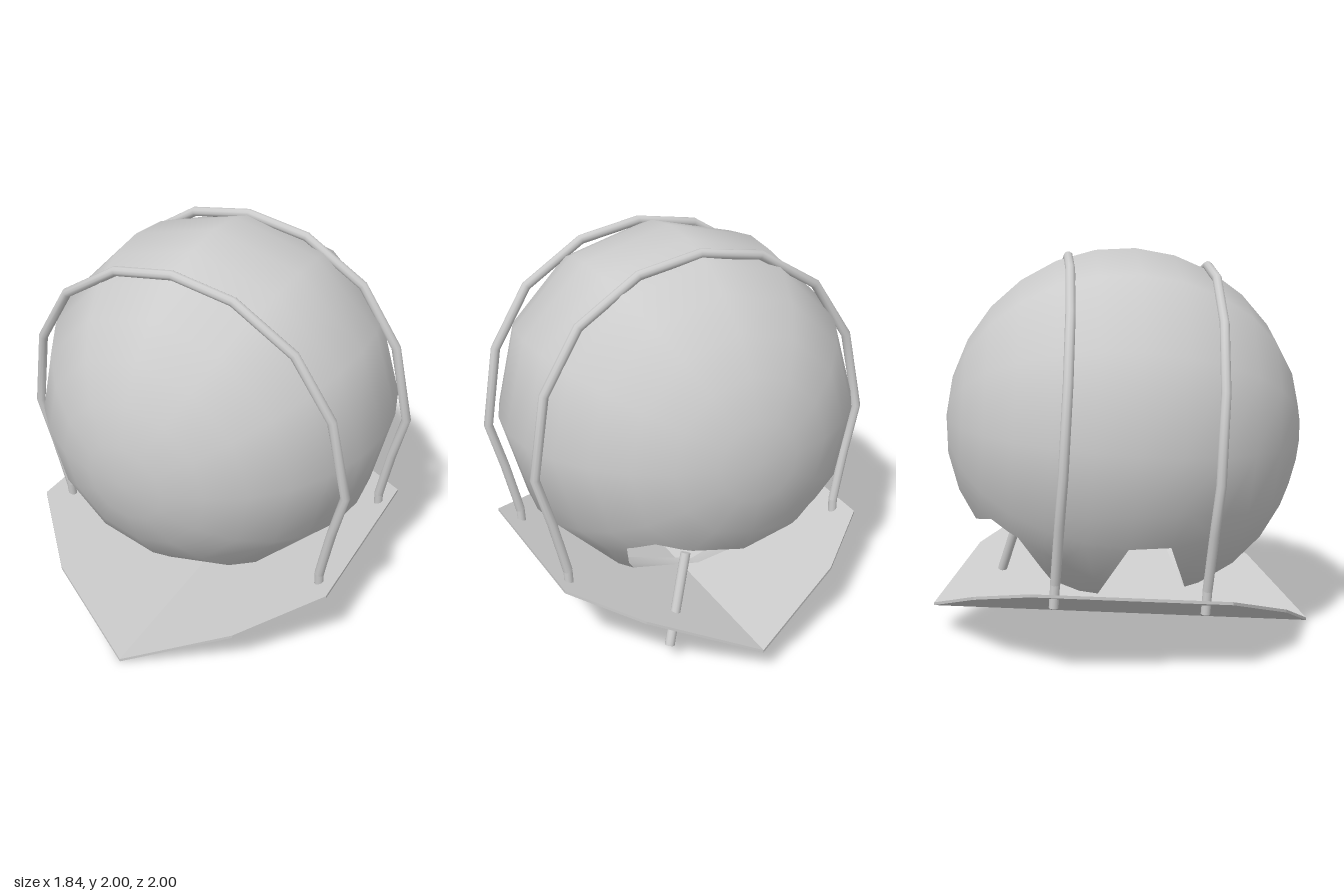
import * as THREE from 'three';

const material = new THREE.MeshStandardMaterial({ color: 0xcccccc, side: THREE.DoubleSide });
const TILT = 0.07;
const V = (x, y, z) => new THREE.Vector3(x, y, z);

function add(parent, name, geometry) {
  const mesh = new THREE.Mesh(geometry, material);
  mesh.name = name;
  parent.add(mesh);
  return mesh;
}

// Split a polygon by a plane into the parts in front of and behind it
function split(poly, plane) {
  const front = [], back = [];
  poly.forEach((a, i) => {
    const b = poly[(i + 1) % poly.length];
    const da = plane.distanceToPoint(a), db = plane.distanceToPoint(b);
    (da >= 0 ? front : back).push(a);
    if ((da >= 0) !== (db >= 0)) {
      const p = a.clone().lerp(b, da / (da - db));
      front.push(p);
      back.push(p);
    }
  });
  return [front, back];
}

// Remove a convex region (behind all planes) from a list of polygons
function cut(polys, planes) {
  const kept = [];
  for (let poly of polys) {
    for (const plane of planes) {
      const [front, back] = split(poly, plane);
      if (front.length > 2) kept.push(front);
      poly = back;
      if (poly.length < 3) break;
    }
  }
  return kept;
}

// Plane along x through two (z, y) points, with its front side facing up
function sidePlane(z1, y1, z2, y2) {
  const n = V(0, z2 - z1, y1 - y2);
  if (n.y < 0) n.negate();
  return new THREE.Plane().setFromNormalAndCoplanarPoint(n.normalize(), V(0, y1, z1));
}

// Hollow ball, poles along z, with openings in the lower sides and back
function ballGeometry() {
  const centre = V(0, 1.09, 0);
  const src = new THREE.SphereGeometry(0.912, 12, 14)
    .rotateX(Math.PI / 2 + TILT).translate(0, centre.y, 0).toNonIndexed();
  const pos = src.attributes.position;
  let polys = [];
  for (let i = 0; i < pos.count; i += 3) {
    polys.push([0, 1, 2].map(k => V().fromBufferAttribute(pos, i + k)));
  }
  // Side slot
  polys = cut(polys, [
    sidePlane(0, 0.63, 1, 0.63),
    sidePlane(0.16, 0.63, 0.24, 0.42),
    sidePlane(-0.04, 0.63, -0.12, 0.43),
  ]);
  // Back opening, one half at a time
  for (const s of [1, -1]) {
    polys = cut(polys, [
      new THREE.Plane(V(-s, 0, 0), 0),
      new THREE.Plane().setFromNormalAndCoplanarPoint(V(-0.22 * s, 1, 0).normalize(), V(0, 0.61, 0)),
      sidePlane(-0.69, 0.71, -0.55, 0.63),
      sidePlane(-0.55, 0.63, -0.42, 0.43),
    ]);
  }
  const points = [], normals = [];
  for (const p of polys) {
    for (let i = 1; i < p.length - 1; i++) {
      for (const v of [p[0], p[i], p[i + 1]]) {
        points.push(v.x, v.y, v.z);
        normals.push(...v.clone().sub(centre).normalize().toArray());
      }
    }
  }
  const g = new THREE.BufferGeometry();
  g.setAttribute('position', new THREE.Float32BufferAttribute(points, 3));
  g.setAttribute('normal', new THREE.Float32BufferAttribute(normals, 3));
  return g;
}

// One half of the folded plate, rising outwards and to the back
function plateGeometry(s) {
  const outline = [[0, 1], [0.52, 0.77], [0.86, 0.44], [0.83, -0.5], [0.52, -0.77], [0, -1]];
  const shape = new THREE.Shape(outline.map(([x, z]) => new THREE.Vector2(s * x, z)));
  const g = new THREE.ExtrudeGeometry(shape, { depth: 0.015, bevelEnabled: false }).rotateX(Math.PI / 2);
  const p = g.attributes.position;
  for (let i = 0; i < p.count; i++) {
    p.setY(i, p.getY(i) + 0.085 - 0.07 * p.getZ(i) + 0.39 * Math.abs(p.getX(i)));
  }
  g.computeVertexNormals();
  return g;
}

// Straight round rod between two points
function rod(parent, name, a, b, r) {
  const mesh = add(parent, name, new THREE.CylinderGeometry(r, r, a.distanceTo(b), 12));
  mesh.position.copy(a).lerp(b, 0.5);
  mesh.quaternion.setFromUnitVectors(V(0, 1, 0), b.clone().sub(a).normalize());
}

// Bent hoop over the ball, with feet through the plate
function hoop(name, dy, dz) {
  const group = new THREE.Group();
  group.name = name;
  const half = [[0.768, 0.42], [0.785, 0.5], [0.83, 0.7], [0.897, 0.95], [0.82, 1.36], [0.63, 1.66], [0.32, 1.855]];
  const path = [...half, [0, 1.91], ...half.map(([x, y]) => [-x, y]).reverse()];
  const at = ([x, y]) => V(x, y + dy, 0.325 + TILT * (y - 0.31) + dz);
  const curve = new THREE.CatmullRomCurve3(path.map(at));
  curve.getPointAt = t => curve.getPoint(t);
  curve.getTangentAt = t => curve.getTangent(t);
  add(group, name + 'Tube', new THREE.TubeGeometry(curve, path.length - 1, 0.024, 10));
  for (const s of [1, -1]) rod(group, 'hoopFoot', at([s * 0.765, 0.305]), at([s * 0.768, 0.425]), 0.023);
  return group;
}

export function createModel() {
  const model = new THREE.Group();
  add(model, 'ball', ballGeometry());

  const plate = new THREE.Group();
  plate.name = 'foldedPlate';
  add(plate, 'plateLeft', plateGeometry(1));
  add(plate, 'plateRight', plateGeometry(-1));
  model.add(plate);

  model.add(hoop('frontHoop', 0, 0), hoop('rearHoop', 0.05, -0.715));

  // Short rod leaning through the back of the plate
  rod(model, 'leaningRod', V(0.36, 0.09, -0.69), V(0.21, 0.52, -0.56), 0.025);
  return model;
}
